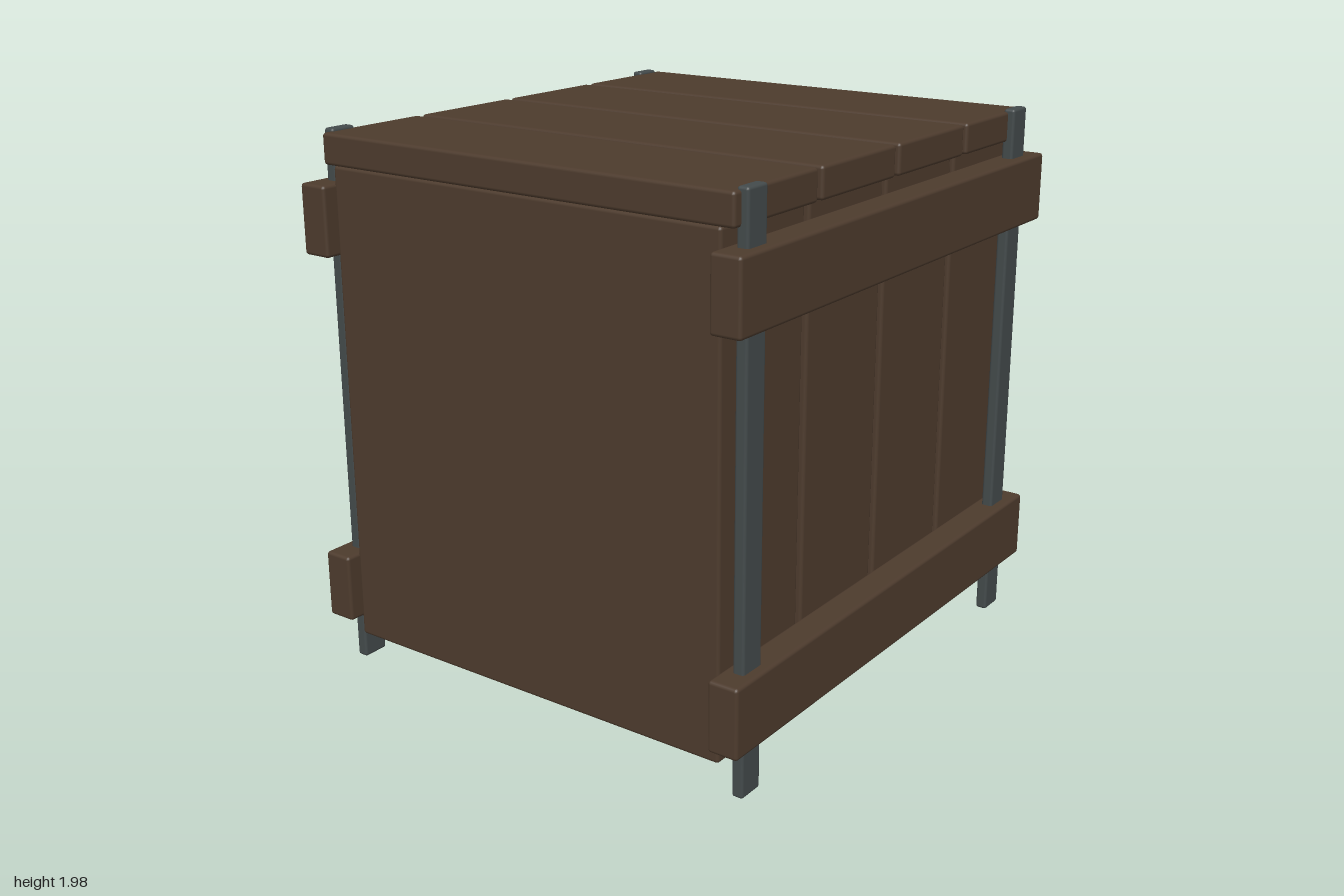
import * as THREE from 'three';
import { RoundedBoxGeometry } from 'three/addons/geometries/RoundedBoxGeometry.js';

const wood = new THREE.MeshStandardMaterial({ name: 'darkWood', color: 0x4d3b2d });
const iron = new THREE.MeshStandardMaterial({ name: 'greyIron', color: 0x434a4b });

// Softly bevelled box given by its extents on each axis
function block(name, material, [x0, x1], [y0, y1], [z0, z1], bevel = 0.012) {
  const geometry = new RoundedBoxGeometry(x1 - x0, y1 - y0, z1 - z0, 2, bevel);
  const mesh = new THREE.Mesh(geometry, material);
  mesh.name = name;
  mesh.position.set((x0 + x1) / 2, (y0 + y1) / 2, (z0 + z1) / 2);
  return mesh;
}

export function createModel() {
  const crate = new THREE.Group();
  crate.name = 'crate';

  // Four upright body slabs, each capped by an overhanging lid plank
  const width = 0.453, pitch = 0.479;
  for (let i = 0; i < 4; i++) {
    const x = (i - 1.5) * pitch;
    const span = [x - width / 2, x + width / 2];
    crate.add(block('bodySlab', wood, span, [0.12, 1.862], [-0.797, 0.797]));
    crate.add(block('lidPlank', wood, span, [1.86, 1.97], [-0.843, 0.843]));
  }

  for (const side of [1, -1]) {
    const face = new THREE.Group();
    face.name = side > 0 ? 'frontFrame' : 'backFrame';

    // Lower and upper cross battens
    for (const y of [0.19, 1.55]) {
      face.add(block('batten', wood, [-1, 1], [y, y + 0.25], [0.792, 0.905]));
    }
    // Iron straps running through the battens, forming the feet
    for (const x of [-0.86, 0.86]) {
      face.add(block('ironStrap', iron, [x - 0.051, x + 0.051], [0, 1.98], [0.825, 0.868], 0.01));
    }
    face.rotation.y = side > 0 ? 0 : Math.PI;
    crate.add(face);
  }
  return crate;
}
